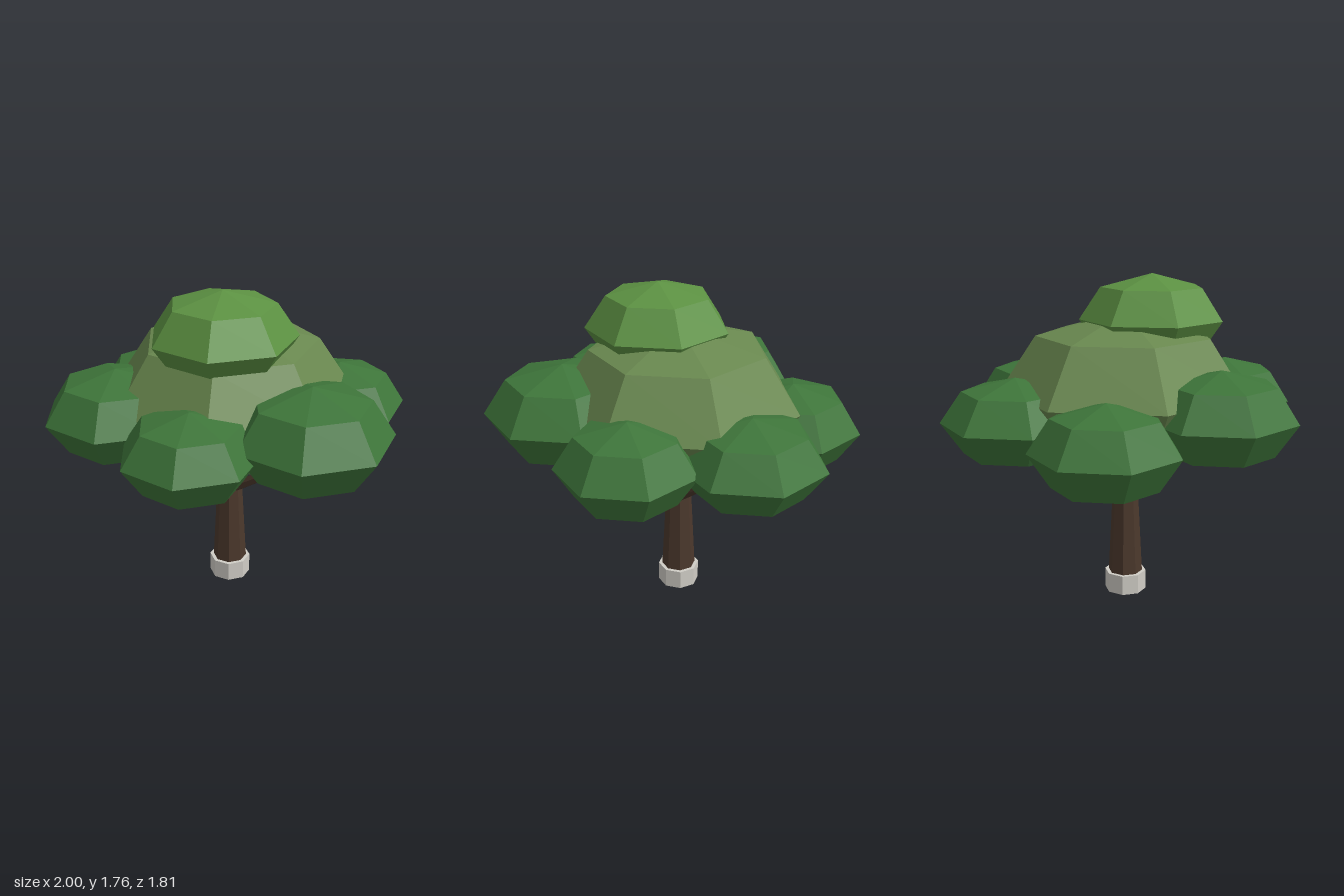
import * as THREE from 'three';

const mat = (color) => new THREE.MeshStandardMaterial({ color, flatShading: true });

export function createModel() {
  const tree = new THREE.Group();
  tree.name = 'tree';
  const bark = mat(0x4b382c);
  const darkLeaf = mat(0x3e753a);
  const oliveLeaf = mat(0x69884f);
  const lightLeaf = mat(0x5c9142);
  const stone = mat(0xd0cdc6);

  const add = (name, geometry, material) => {
    const mesh = new THREE.Mesh(geometry, material);
    mesh.name = name;
    tree.add(mesh);
    return mesh;
  };

  // Seven-sided flattened clump of leaves, one corner toward +x
  const foliage = (name, material, x, y, z, r, ry) => {
    const g = new THREE.SphereGeometry(1, 7, 4).rotateY(Math.PI).scale(r, ry, r);
    add(name, g, material).position.set(x, y, z);
  };

  // Octagonal base and tapered trunk
  const cx = -0.04, cz = -0.005;
  add('base', new THREE.CylinderGeometry(0.115, 0.115, 0.11, 8), stone).position.set(cx, 0.055, cz);
  add('trunk', new THREE.CylinderGeometry(0.07, 0.1, 0.585, 8), bark).position.set(cx, 0.2975, cz);

  // Four branches spreading from the top of the trunk
  const up = new THREE.Vector3(0, 1, 0);
  for (let i = 0; i < 4; i++) {
    const a = 0.21 + i * Math.PI / 2;
    const from = new THREE.Vector3(cx, 0.555, cz);
    const to = new THREE.Vector3(cx + 0.41 * Math.sin(a), 0.825, cz + 0.41 * Math.cos(a));
    const dir = to.clone().sub(from);
    const branch = add('branch' + (i + 1), new THREE.CylinderGeometry(0.02, 0.036, dir.length(), 6), bark);
    branch.position.copy(from).add(to).multiplyScalar(0.5);
    branch.quaternion.setFromUnitVectors(up, dir.normalize());
  }

  // Crown: large middle, small top, ring of outer clumps
  foliage('crownMiddle', oliveLeaf, -0.035, 1.155, -0.01, 0.665, 0.41);
  foliage('crownTop', lightLeaf, 0.06, 1.52, 0.125, 0.39, 0.24);
  [
    ['leftClump', 0.572, 1.105, -0.005, 0.425, 0.265],
    ['frontLeftClump', 0.265, 1.06, 0.515, 0.363, 0.225],
    ['frontRightClump', -0.345, 1.08, 0.517, 0.395, 0.245],
    ['rightClump', -0.655, 0.975, -0.012, 0.382, 0.24],
    ['backRightClump', -0.343, 1.03, -0.53, 0.39, 0.23],
    ['backLeftClump', 0.264, 1.035, -0.54, 0.366, 0.235],
  ].forEach(([name, ...p]) => foliage(name, darkLeaf, ...p));

  return tree;
}
